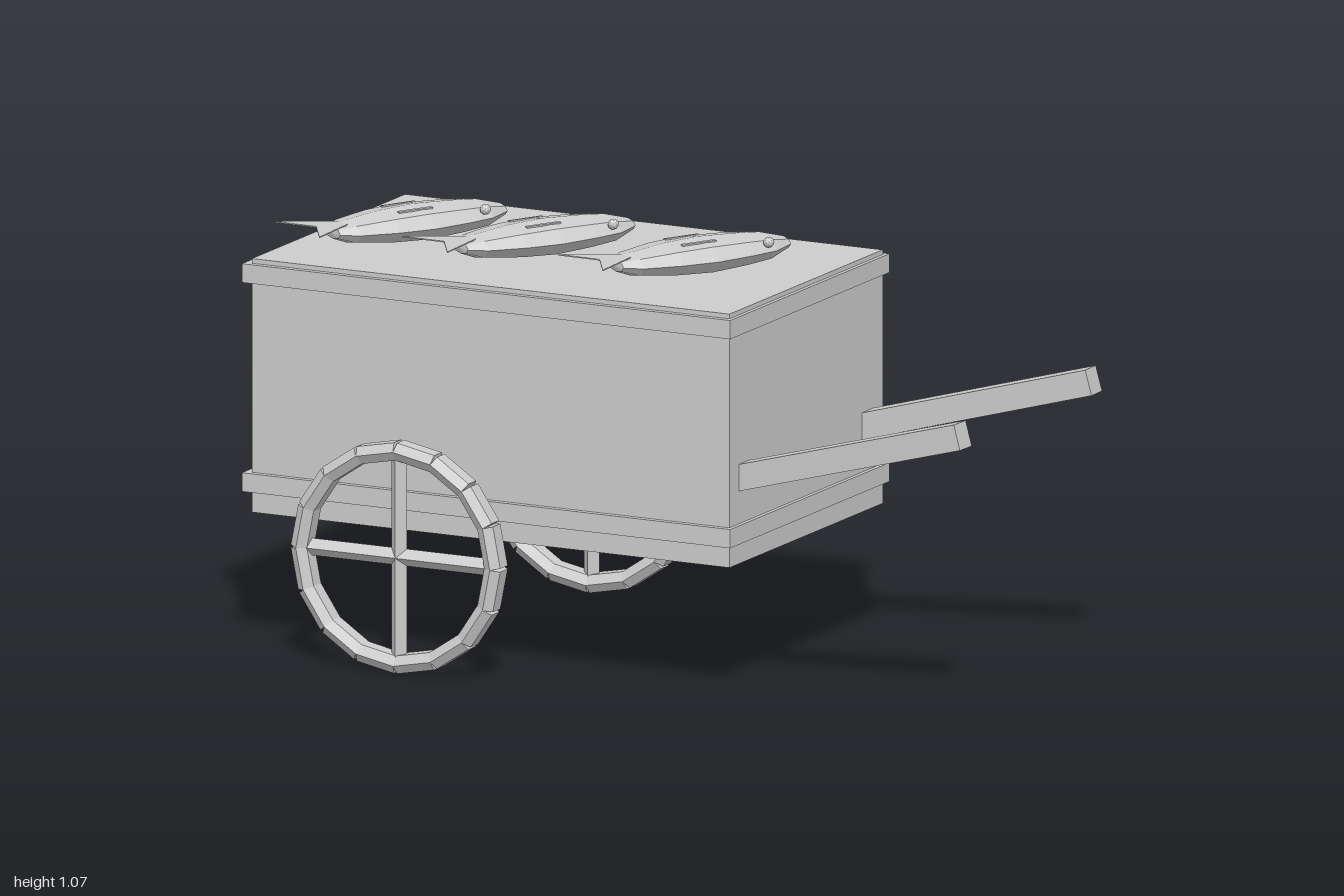
import * as THREE from 'three';

const grey = new THREE.MeshStandardMaterial({ color: 0xcccccc, flatShading: true });
grey.name = 'plain grey';

function part(name, geometry, parent, x = 0, y = 0, z = 0) {
  const mesh = new THREE.Mesh(geometry, grey);
  mesh.name = name;
  mesh.position.set(x, y, z);
  parent.add(mesh);
  return mesh;
}

function shapeOf(points) {
  return new THREE.Shape(points.map(([x, y]) => new THREE.Vector2(x, y)));
}

function extrude(points, depth) {
  return new THREE.ExtrudeGeometry(shapeOf(points), { depth, bevelEnabled: false });
}

// Wheel: straight six-sided rim blocks set in a ring, and crossed diamond spokes
function makeWheel(z) {
  const wheel = new THREE.Group();
  wheel.name = 'wheel';
  const count = 16;
  const length = 2 * 0.268 * Math.tan(Math.PI / count);
  const block = extrude([
    [0.29, -0.02], [0.29, 0.02], [0.268, 0.035],
    [0.245, 0.02], [0.245, -0.02], [0.268, -0.035],
  ], length);
  block.translate(0, 0, -length / 2);
  block.rotateX(Math.PI / 2);
  for (let i = 0; i < count; i++) {
    part('rimBlock', block, wheel).rotation.z = ((i + 0.5) / count) * Math.PI * 2;
  }
  const spoke = new THREE.CylinderGeometry(0.022, 0.022, 0.51, 4);
  part('verticalSpoke', spoke, wheel);
  part('horizontalSpoke', spoke, wheel).rotation.z = Math.PI / 2;
  wheel.position.set(-0.51, 0.297, z);
  return wheel;
}

// Fish: flattened faceted body along local x, with forked tail, fins and an eye
function makeFish(x) {
  const fish = new THREE.Group();
  fish.name = 'fish';
  const profile = [
    [0, -0.254], [0.034, -0.25], [0.068, -0.21], [0.095, -0.11], [0.106, -0.01],
    [0.094, 0.1], [0.079, 0.178], [0.034, 0.25], [0, 0.254],
  ].map(([r, s]) => new THREE.Vector2(r, s));
  const body = new THREE.LatheGeometry(profile, 8);
  body.rotateZ(-Math.PI / 2);
  body.scale(1, 0.43, 1);
  part('fishBody', body, fish);

  const tail = extrude([[-0.21, -0.015], [-0.21, 0.015], [-0.36, 0.105], [-0.3, 0], [-0.355, -0.105]], 0.003);
  tail.rotateX(Math.PI / 2);
  part('fishTail', tail, fish, 0, 0.023, 0);

  for (const side of [-1, 1]) {
    const fin = part('fishFin', new THREE.BoxGeometry(0.1, 0.004, 0.009), fish, -0.03, 0.039, side * 0.04);
    fin.rotation.x = side * 0.1;
  }
  part('fishEye', new THREE.IcosahedronGeometry(0.014, 1), fish, 0.153, 0.025, 0.08);

  fish.position.set(x, 1.03, 0.005);
  fish.rotation.y = 1.07;
  return fish;
}

export function createModel() {
  const cart = new THREE.Group();
  cart.name = 'fishCart';

  // Box and its two trim bands
  part('cartBox', new THREE.BoxGeometry(1.345, 0.648, 0.82), cart, -0.308, 0.664, 0);
  part('upperTrim', new THREE.BoxGeometry(1.375, 0.048, 0.852), cart, -0.3125, 0.952, 0);
  part('lowerTrim', new THREE.BoxGeometry(1.375, 0.048, 0.852), cart, -0.3125, 0.418, 0);

  // Handles rise and spread slightly toward their ends
  for (const side of [-1, 1]) {
    const start = new THREE.Vector3(0.33, 0.55, side * 0.329);
    const end = new THREE.Vector3(0.99, 0.732, side * 0.35);
    const bar = new THREE.BoxGeometry(0.066, 0.06, start.distanceTo(end));
    bar.rotateZ(Math.PI / 2);
    const handle = part('handle', bar, cart);
    handle.position.copy(start).lerp(end, 0.5);
    handle.lookAt(end);
  }

  for (const z of [-0.515, 0.515]) cart.add(makeWheel(z));
  for (const x of [-0.73, -0.37, 0.068]) cart.add(makeFish(x));
  return cart;
}
